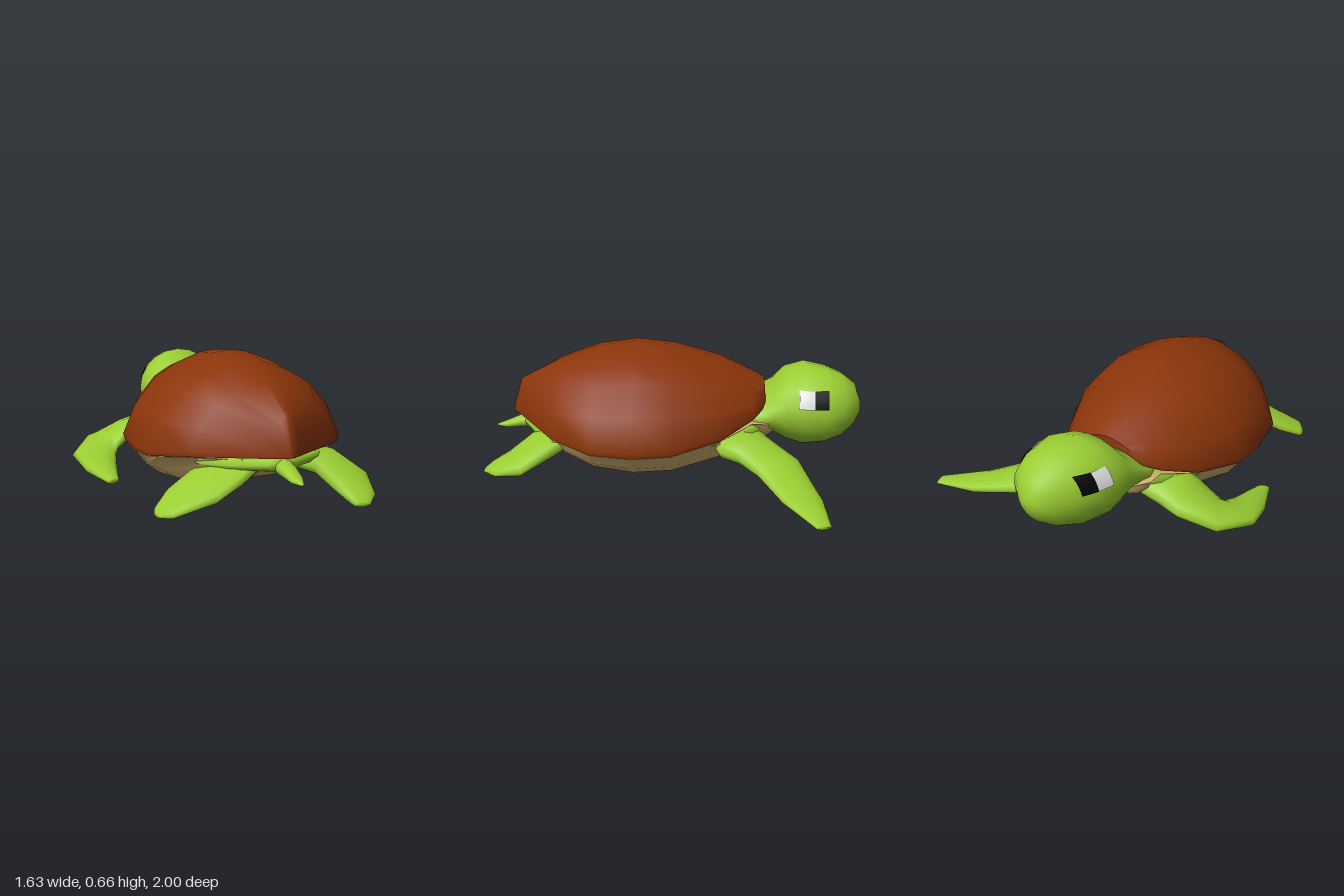
import * as THREE from 'three';
import { toCreasedNormals } from 'three/addons/utils/BufferGeometryUtils.js';

const V = (x, y, z) => new THREE.Vector3(x, y, z);
const BODY_X = -0.1;

// Closed skin through a list of equal-length rings, capped at both ends
function loft(rings, crease = 0) {
  const n = rings[0].length, pos = [], idx = [];
  rings.forEach(r => r.forEach(p => pos.push(p.x, p.y, p.z)));
  for (let i = 0; i < rings.length - 1; i++) {
    for (let j = 0; j < n; j++) {
      const a = i * n + j, b = i * n + (j + 1) % n;
      idx.push(a, b, b + n, a, b + n, a + n);
    }
  }
  [0, rings.length - 1].forEach(e => {
    const c = rings[e].reduce((s, p) => s.add(p), V(0, 0, 0)).divideScalar(n);
    const k = pos.length / 3;
    pos.push(c.x, c.y, c.z);
    for (let j = 0; j < n; j++) {
      const a = e * n + j, b = e * n + (j + 1) % n;
      if (e === 0) idx.push(k, b, a); else idx.push(k, a, b);
    }
  });
  // Turn the faces outward if the enclosed volume is negative
  const at = i => V(pos[3 * i], pos[3 * i + 1], pos[3 * i + 2]);
  let vol = 0;
  for (let i = 0; i < idx.length; i += 3) vol += at(idx[i]).dot(at(idx[i + 1]).cross(at(idx[i + 2])));
  if (vol < 0) idx.reverse();
  const g = new THREE.BufferGeometry();
  g.setAttribute('position', new THREE.Float32BufferAttribute(pos, 3));
  g.setIndex(idx);
  g.computeVertexNormals();
  return crease ? toCreasedNormals(g, crease) : g;
}

// Mirrored arch ring: half profile of [width, height] fractions, from rim to crest
function arch(profile, z, hw, yRim, yCrest) {
  const pt = (s, [w, h]) => V(BODY_X + s * w * hw, yRim + h * (yCrest - yRim), z);
  const right = profile.map(p => pt(1, p));
  const left = profile.slice(0, -1).reverse().map(p => pt(-1, p));
  return [...right, ...left];
}

// Elliptical ring around a centre with two half axes
function ellipse(c, u, v, n = 12) {
  return Array.from({ length: n }, (_, i) => {
    const t = i / n * Math.PI * 2;
    return c.clone().addScaledVector(u, Math.cos(t)).addScaledVector(v, Math.sin(t));
  });
}

// Flipper from stations [leadX, leadZ, trailX, trailZ, y, halfThickness]
function flipper(stations) {
  return loft(stations.map(([lx, lz, tx, tz, y, h]) =>
    ellipse(V((lx + tx) / 2, y, (lz + tz) / 2), V((lx - tx) / 2, 0, (lz - tz) / 2), V(0, h, 0))));
}

// Body piece on the centre line from stations [z, halfWidth, y, halfHeight]
function bodyPiece(stations) {
  return loft(stations.map(([z, w, y, h]) => ellipse(V(BODY_X, y, z), V(w, 0, 0), V(0, h, 0))));
}

// Head and neck stations: z, centre x, half width, bottom y, top y
const HEAD = [
  [-1.0, -0.02, 0.04, 0.30, 0.38], [-0.97, -0.028, 0.105, 0.24, 0.465],
  [-0.9, -0.025, 0.177, 0.18, 0.52], [-0.81, -0.04, 0.22, 0.138, 0.553],
  [-0.7, -0.058, 0.243, 0.12, 0.57], [-0.6, -0.07, 0.236, 0.15, 0.535],
  [-0.54, -0.082, 0.222, 0.19, 0.46], [-0.46, -0.1, 0.235, 0.2, 0.4],
  [-0.3, -0.1, 0.2, 0.2, 0.38],
];

// Point on the side of the head, lifted slightly off the skin
function headPoint(side, z, y) {
  const i = HEAD.findIndex(s => s[0] > z), a = HEAD[i - 1], b = HEAD[i];
  const t = (z - a[0]) / (b[0] - a[0]);
  const [, cx, hw, y0, y1] = a.map((v, k) => v + (b[k] - v) * t);
  const f = (y - (y0 + y1) / 2) / ((y1 - y0) / 2);
  return V(cx + side * (hw * Math.sqrt(1 - f * f) + 0.006), y, z);
}

// Curved patch lying on the head
function eyePatch(side, z0, z1, y0, y1) {
  const g = new THREE.PlaneGeometry(1, 1, 4, 4), p = g.attributes.position;
  for (let i = 0; i < p.count; i++) {
    const u = side > 0 ? 0.5 - p.getX(i) : 0.5 + p.getX(i);
    const q = headPoint(side, z0 + (z1 - z0) * u, y0 + (y1 - y0) * (p.getY(i) + 0.5));
    p.setXYZ(i, q.x, q.y, q.z);
  }
  g.computeVertexNormals();
  return g;
}

export function createModel() {
  const model = new THREE.Group();
  model.name = 'seaTurtle';
  const material = (name, color, extra) => {
    const m = new THREE.MeshStandardMaterial({ color, ...extra });
    m.name = name;
    return m;
  };
  const skin = material('greenSkin', 0x9acd32);
  const brown = material('brownShell', 0x8b350a);
  const tan = material('tanBelly', 0xd2b26e);
  const white = material('eyeWhite', 0xe6e6e6, { side: THREE.DoubleSide });
  const black = material('eyeBlack', 0x050505, { side: THREE.DoubleSide });
  const add = (name, geometry, mat) => {
    const mesh = new THREE.Mesh(geometry, mat);
    mesh.name = name;
    model.add(mesh);
  };

  // Domed shell: z, half width, rim y, crest y
  const dome = [[0.985, 0], [1, 0.06], [0.87, 0.4], [0.65, 0.71], [0.43, 0.86], [0.17, 0.975], [0, 1]];
  add('shell', loft([
    [-0.49, 0.18, 0.365, 0.47], [-0.42, 0.275, 0.32, 0.505], [-0.25, 0.395, 0.25, 0.585],
    [0, 0.515, 0.21, 0.65], [0.2, 0.53, 0.2, 0.67], [0.41, 0.52, 0.215, 0.64],
    [0.62, 0.395, 0.245, 0.565], [0.84, 0.07, 0.255, 0.45], [0.89, 0.012, 0.262, 0.29],
  ].map(s => arch(dome, ...s)), 1.0), brown);

  // Belly with a flange lining the shell rim: z, half width, rim y, lowest y
  const bowl = [[1.08, 0], [1, 0.04], [0.94, 0.43], [0.8, 0.7], [0.6, 0.88], [0.3, 0.97], [0, 1]];
  add('belly', loft([
    [-0.56, 0.16, 0.27, 0.2], [-0.5, 0.235, 0.29, 0.17], [-0.42, 0.25, 0.3, 0.13],
    [-0.25, 0.36, 0.246, 0.07], [0, 0.468, 0.206, 0.02], [0.2, 0.483, 0.196, 0.01],
    [0.41, 0.473, 0.211, 0.045], [0.62, 0.345, 0.241, 0.115], [0.72, 0.2, 0.24, 0.165],
    [0.8, 0.07, 0.24, 0.215],
  ].map(s => arch(bowl, ...s)), 1.0), tan);

  // Head and neck
  add('head', loft(HEAD.map(([z, cx, hw, y0, y1]) =>
    ellipse(V(cx, (y0 + y1) / 2, z), V(hw, 0, 0), V(0, (y1 - y0) / 2, 0), 20))), skin);

  // Eyes, set a little further forward on the side the head turns from
  [[1, 0], [-1, -0.065]].forEach(([side, dz]) => {
    const name = side > 0 ? 'left' : 'right';
    add(name + 'EyeWhite', eyePatch(side, -0.74 + dz, -0.66 + dz, 0.388, 0.477), white);
    add(name + 'EyePupil', eyePatch(side, -0.812 + dz, -0.74 + dz, 0.388, 0.477), black);
  });

  // Front flippers: one reaching forward, one swept back
  add('leftFrontFlipper', flipper([
    [-0.05, -0.46, 0.05, -0.15, 0.24, 0.08], [0.13, -0.51, 0.29, -0.24, 0.19, 0.07],
    [0.18, -0.56, 0.33, -0.34, 0.17, 0.062], [0.27, -0.67, 0.4, -0.43, 0.125, 0.05],
    [0.57, -0.75, 0.6, -0.55, 0.068, 0.03], [0.8, -0.765, 0.815, -0.69, 0.047, 0.012],
  ]), skin);
  add('rightFrontFlipper', flipper([
    [-0.2, -0.48, -0.22, -0.16, 0.24, 0.08], [-0.38, -0.485, -0.47, -0.22, 0.19, 0.07],
    [-0.5, -0.51, -0.53, -0.23, 0.165, 0.06], [-0.7, -0.465, -0.58, -0.215, 0.115, 0.05],
    [-0.82, -0.28, -0.6, -0.2, 0.078, 0.04], [-0.8, -0.1, -0.625, -0.1, 0.045, 0.038],
    [-0.735, 0.125, -0.67, 0.1, 0.022, 0.015],
  ]), skin);

  // Hind flippers
  add('leftHindFlipper', flipper([
    [-0.06, 0.66, 0.2, 0.5, 0.21, 0.05], [0.08, 0.77, 0.3, 0.62, 0.17, 0.06],
    [0.13, 0.88, 0.38, 0.77, 0.095, 0.05], [0.155, 0.965, 0.325, 0.92, 0.055, 0.03],
    [0.17, 0.985, 0.25, 0.998, 0.04, 0.012],
  ]), skin);
  add('rightHindFlipper', flipper([
    [-0.25, 0.5, -0.14, 0.72, 0.21, 0.05], [-0.48, 0.57, -0.28, 0.79, 0.15, 0.045],
    [-0.6, 0.615, -0.42, 0.835, 0.095, 0.038], [-0.68, 0.69, -0.635, 0.83, 0.045, 0.024],
    [-0.69, 0.72, -0.68, 0.77, 0.032, 0.01],
  ]), skin);

  // Shoulders, hips and tail
  add('shoulders', bodyPiece([
    [-0.5, 0.2, 0.27, 0.07], [-0.42, 0.28, 0.255, 0.08], [-0.3, 0.365, 0.235, 0.07], [-0.2, 0.375, 0.215, 0.03],
  ]), skin);
  add('hips', bodyPiece([
    [0.52, 0.34, 0.215, 0.03], [0.62, 0.355, 0.215, 0.042], [0.72, 0.25, 0.215, 0.045], [0.82, 0.08, 0.22, 0.035],
  ]), skin);
  add('tail', bodyPiece([
    [0.75, 0.055, 0.215, 0.045], [0.86, 0.043, 0.195, 0.035], [0.94, 0.033, 0.175, 0.02], [0.995, 0.007, 0.168, 0.006],
  ]), skin);

  return model;
}
